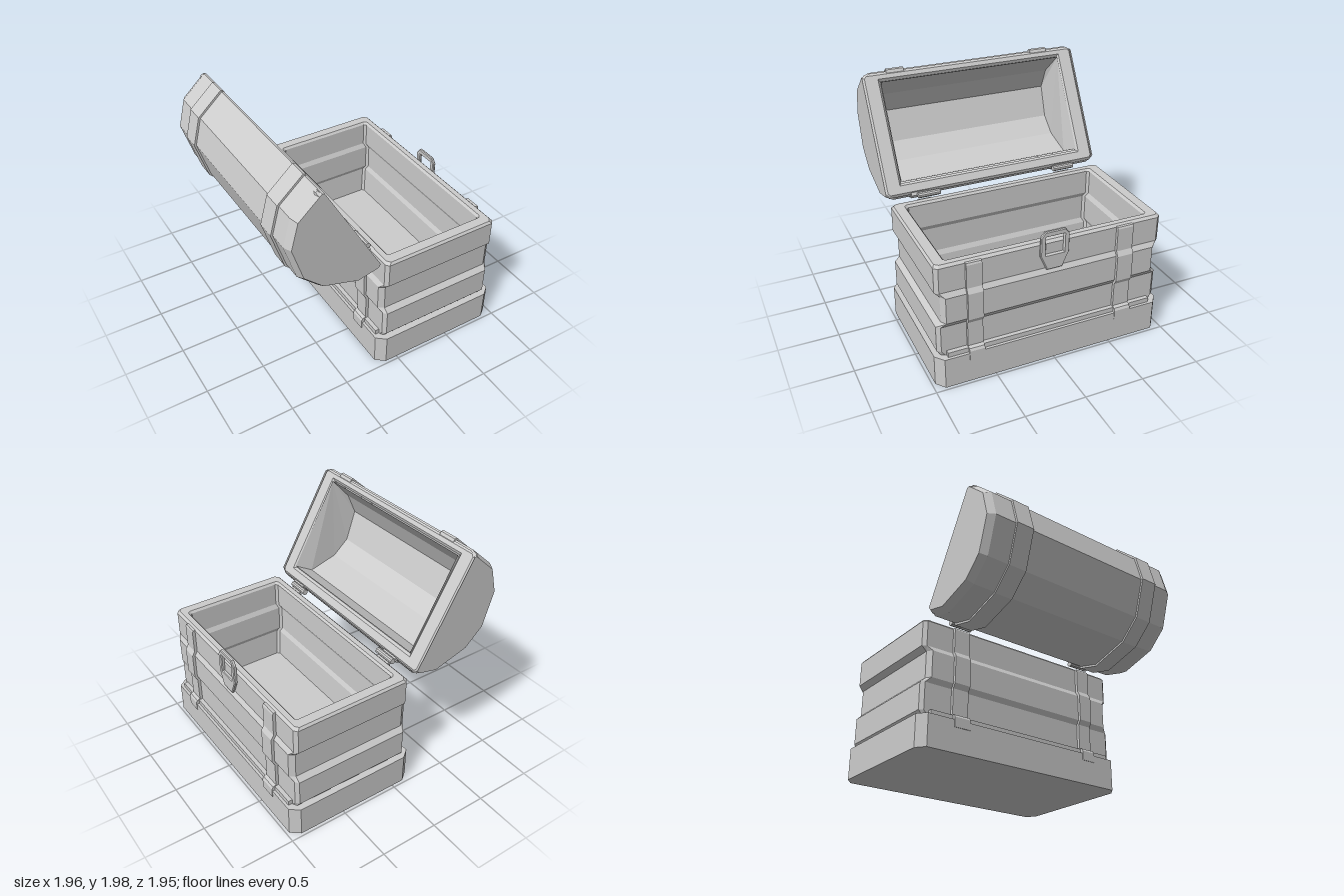
import * as THREE from 'three';

const CX = 0.3975; // centre of the box part

// Skin between matching loops of points; caps fill the first or last loop
function loft(loops, { closed = true, capStart = false, capEnd = false } = {}) {
  const pos = [];
  const tri = (...pts) => pts.forEach(p => pos.push(p.x, p.y, p.z));
  const n = loops[0].length;
  for (let k = 0; k < loops.length - 1; k++) {
    const a = loops[k], b = loops[k + 1];
    for (let i = 0; i < (closed ? n : n - 1); i++) {
      const j = (i + 1) % n;
      tri(a[i], b[i], a[j]);
      tri(b[i], b[j], a[j]);
    }
  }
  const first = loops[0], last = loops[loops.length - 1];
  for (let i = 1; i < n - 1; i++) {
    if (capStart) tri(first[0], first[i], first[i + 1]);
    if (capEnd) tri(last[0], last[i + 1], last[i]);
  }
  const g = new THREE.BufferGeometry();
  g.setAttribute('position', new THREE.Float32BufferAttribute(pos, 3));
  g.computeVertexNormals();
  return g;
}

// Rectangle with cut corners at height y
function octagon(y, hx, hz, cx, cz) {
  return [[hx, -hz + cz], [hx, hz - cz], [hx - cx, hz], [-hx + cx, hz],
    [-hx, hz - cz], [-hx, -hz + cz], [-hx + cx, -hz], [hx - cx, -hz]]
    .map(([x, z]) => new THREE.Vector3(CX + x, y, z));
}

const toShape = pts => new THREE.Shape(pts.map(p => new THREE.Vector2(p[0], p[1])));

export function createModel() {
  const group = new THREE.Group();
  const grey = new THREE.MeshStandardMaterial({ color: 0xcccccc, flatShading: true, side: THREE.DoubleSide });
  grey.name = 'light grey';
  const add = (name, geometry) => {
    const m = new THREE.Mesh(geometry, grey);
    m.name = name;
    group.add(m);
    return m;
  };
  const band = (name, pts, z0, z1) => {
    const m = add(name, new THREE.ExtrudeGeometry(toShape(pts), { depth: z1 - z0, bevelEnabled: false }));
    m.position.z = z0;
    return m;
  };

  // Plinth
  add('base', loft([octagon(0, 0.578, 0.975, 0.075, 0.06), octagon(0.26, 0.578, 0.975, 0.075, 0.06)],
    { capStart: true, capEnd: true }));

  // Plank walls, rim and hollow inside, from outer foot to inner floor
  const walls = [
    [0.26, 0.52, 0.92, 0.02, 0.03], [0.30, 0.52, 0.95, 0.025, 0.03],
    [0.52, 0.52, 0.95, 0.025, 0.03], [0.56, 0.545, 0.91, 0.045, 0.03],
    [0.78, 0.545, 0.91, 0.045, 0.03], [0.82, 0.52, 0.95, 0.025, 0.03],
    [1.03, 0.52, 0.95, 0.025, 0.03], [1.05, 0.50, 0.935, 0.025, 0.03],
    [1.05, 0.455, 0.855, 0.02, 0.02], [1.03, 0.44, 0.84, 0.02, 0.02],
    [0.82, 0.44, 0.84, 0.02, 0.02], [0.78, 0.46, 0.82, 0.02, 0.02],
    [0.56, 0.46, 0.82, 0.02, 0.02], [0.52, 0.44, 0.84, 0.02, 0.02],
    [0.28, 0.42, 0.82, 0.02, 0.02],
  ];
  add('boxWalls', loft(walls.map(w => octagon(...w)), { capEnd: true }));

  // Foot mouldings and bent straps on both long sides
  const strap = [[0.5, 0.2], [0.583, 0.2], [0.583, 0.28], [0.572, 0.3], [0.545, 0.31], [0.545, 0.52],
    [0.568, 0.56], [0.568, 0.785], [0.545, 0.825], [0.545, 1.02], [0.538, 1.035], [0.5, 1.035]];
  for (const s of [1, -1]) {
    const foot = add('footMoulding', new THREE.BoxGeometry(0.05, 0.04, 1.76));
    foot.position.set(CX + s * 0.53, 0.28, 0);
    const pts = strap.map(([d, y]) => [CX + s * d, y]);
    band('boxStrap', pts, 0.59, 0.715);
    band('boxStrap', pts, -0.685, -0.545);
  }

  // Latch plate with a square opening
  const latch = toShape([[-0.065, 0.815], [0.065, 0.815], [0.12, 0.94], [0.12, 1.1],
    [0.085, 1.145], [-0.085, 1.145], [-0.12, 1.1], [-0.12, 0.94]]);
  latch.holes.push(toShape([[-0.077, 0.945], [-0.077, 1.1], [0.077, 1.1], [0.077, 0.945]]));
  const plate = add('latch', new THREE.ExtrudeGeometry(latch,
    { depth: 0.014, bevelEnabled: true, bevelSize: 0.006, bevelThickness: 0.008, bevelOffset: -0.006, bevelSegments: 1 }));
  plate.rotation.y = Math.PI / 2;
  plate.position.x = 0.924;

  // Hinge barrels
  for (const z of [0.61, -0.63]) {
    const hinge = add('hinge', new THREE.CylinderGeometry(0.025, 0.025, 0.19, 10));
    hinge.rotation.x = Math.PI / 2;
    hinge.position.set(-0.14, 1.07, z);
  }

  // Lid shell: faceted barrel with bevelled ends
  const profile = [[-0.175, 1.075], [-0.195, 1.045], [-0.38, 1.0], [-0.70, 1.095], [-0.865, 1.25],
    [-0.96, 1.56], [-0.9, 1.79], [-0.70, 1.97], [-0.68, 1.965]];
  const scaled = k => profile.map(([x, y]) => [-0.43 + (x + 0.43) * k, 1.52 + (y - 1.52) * k]);
  const slice = (k, z) => scaled(k).map(([x, y]) => new THREE.Vector3(x, y, z));
  add('lidShell', loft([slice(0.94, -0.96), slice(1, -0.9), slice(1, 0.9), slice(0.94, 0.96)],
    { closed: false, capStart: true, capEnd: true }));

  // Lid straps
  const ring = [...scaled(1.032), ...scaled(0.98).reverse()];
  band('lidStrap', ring, 0.6, 0.75);
  band('lidStrap', ring, -0.715, -0.56);

  // Lid hollow
  const hollow = [[-0.64, 1.9], [-0.78, 1.74], [-0.86, 1.56], [-0.775, 1.3], [-0.635, 1.175], [-0.38, 1.1], [-0.235, 1.17]];
  const inside = s => hollow.map(([x, y], i) =>
    new THREE.Vector3(x, y, s * (i === 0 || i === hollow.length - 1 ? 0.81 : 0.77)));
  add('lidHollow', loft([inside(-1), inside(1)], { closed: false, capStart: true, capEnd: true }));

  // Lid rim: bevelled frame lying in the opening plane
  const len = 1.03, c = 0.03;
  const frame = toShape([[c, -0.96], [len - c, -0.96], [len, -0.93], [len, 0.93],
    [len - c, 0.96], [c, 0.96], [0, 0.93], [0, -0.93]]);
  frame.holes.push(toShape([[0.105, -0.81], [0.105, 0.81], [0.955, 0.81], [0.955, -0.81]]));
  const rim = add('lidRim', new THREE.ExtrudeGeometry(frame,
    { depth: 0.02, bevelEnabled: true, bevelSize: 0.02, bevelThickness: 0.02, bevelOffset: -0.02, bevelSegments: 1 }));
  const along = new THREE.Vector3(-0.505, 0.89, 0).normalize();
  const out = new THREE.Vector3(along.y, -along.x, 0);
  rim.quaternion.setFromRotationMatrix(new THREE.Matrix4().makeBasis(along, new THREE.Vector3(0, 0, 1), out));
  rim.position.set(-0.18, 1.07, 0).addScaledVector(out, -0.035);

  return group;
}
